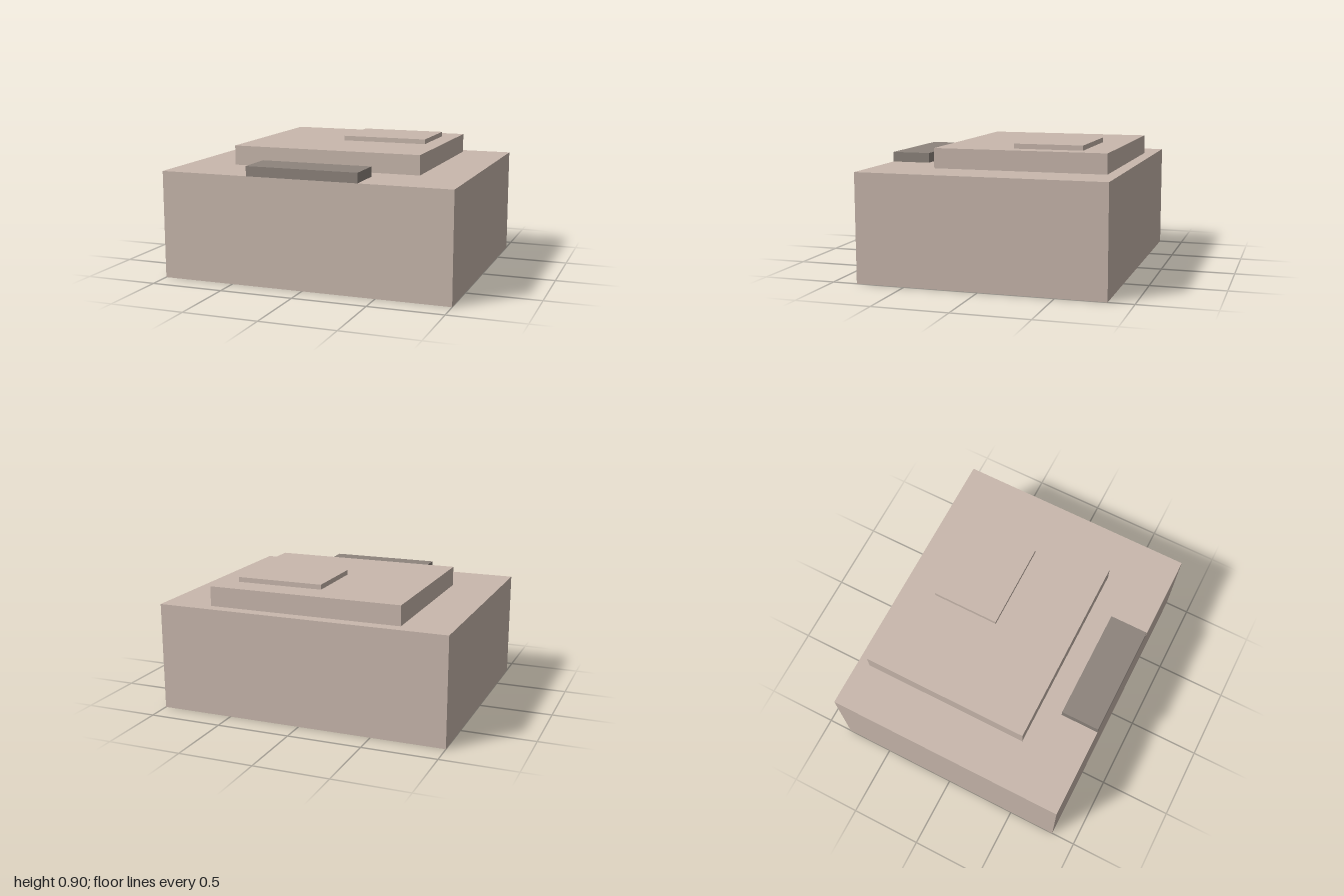
import * as THREE from 'three';

export function createModel() {
  const model = new THREE.Group();
  model.name = 'steppedBuilding';

  const wall = new THREE.MeshStandardMaterial({ color: 0xc9b8ad });
  wall.name = 'warm stone';
  const canopy = new THREE.MeshStandardMaterial({ color: 0x8d847c });
  canopy.name = 'dark grey';

  // Box given by its lower and upper corner
  function block(name, material, [x0, y0, z0], [x1, y1, z1]) {
    const mesh = new THREE.Mesh(new THREE.BoxGeometry(x1 - x0, y1 - y0, z1 - z0), material);
    mesh.position.set((x0 + x1) / 2, (y0 + y1) / 2, (z0 + z1) / 2);
    mesh.name = name;
    model.add(mesh);
  }

  // Main volume and the two setback tiers on its roof
  block('mainBlock', wall, [-1, 0, -0.832], [1, 0.733, 0.832]);
  block('upperTier', wall, [-0.667, 0.733, -0.75], [0.663, 0.867, 0.415]);
  block('roofHousing', wall, [-0.053, 0.867, -0.565], [0.547, 0.9, -0.1]);

  // Dark block over the front edge
  block('entranceBlock', canopy, [-0.385, 0.733, 0.567], [0.382, 0.8, 0.832]);

  return model;
}
